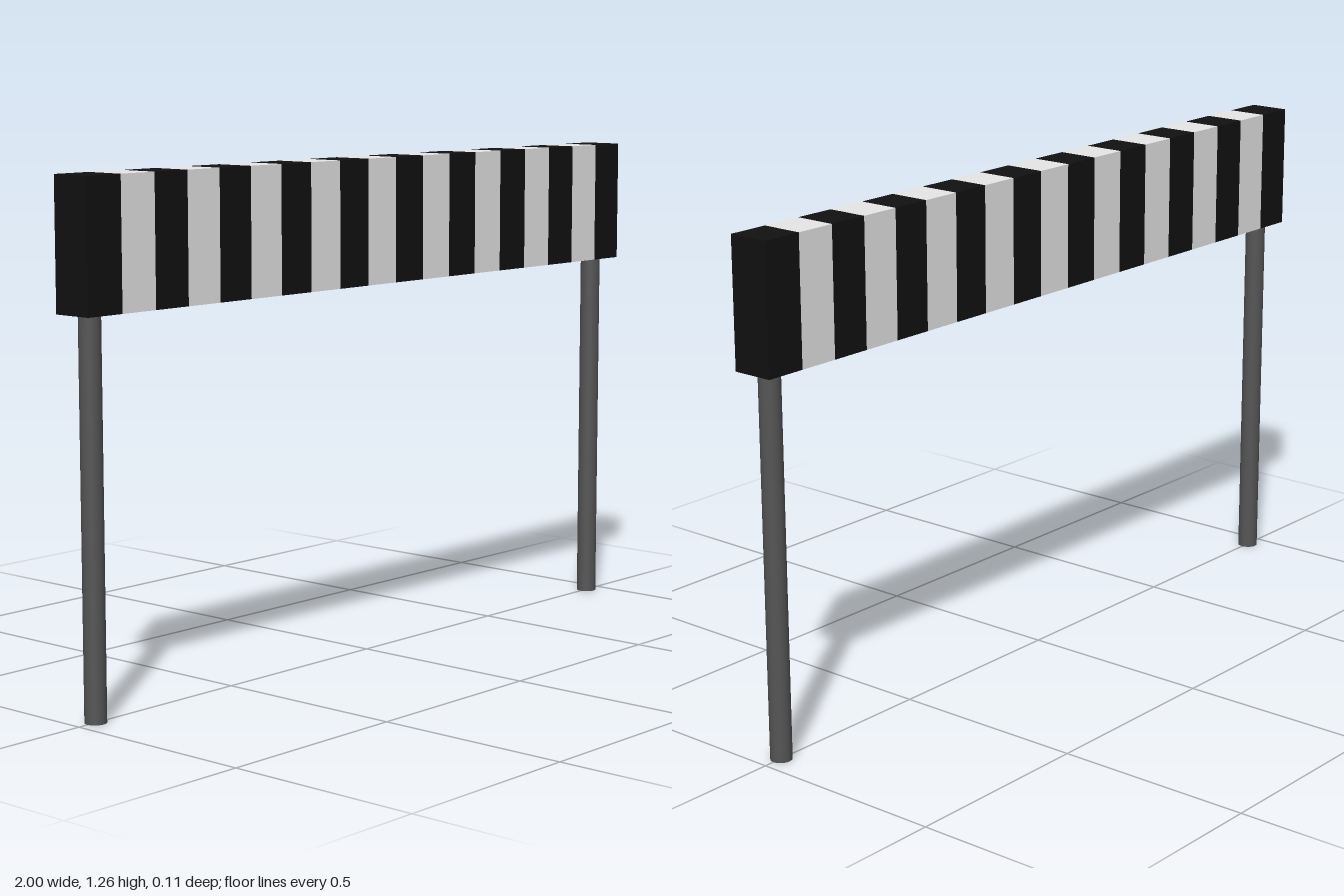
import * as THREE from 'three';

export function createModel() {
  const model = new THREE.Group();
  model.name = 'stripedBarrier';

  const material = (name, color) => {
    const m = new THREE.MeshStandardMaterial({ color });
    m.name = name;
    return m;
  };
  const black = material('black', 0x111111);
  const white = material('white', 0xf5f5f5);
  const grey = material('dark grey', 0x555555);

  const stripes = 19;
  const unit = 2 / stripes; // stripe width, also the beam depth
  const beamBottom = 9 * unit;
  const beamHeight = 3 * unit;

  // Beam: alternating blocks, black at both ends
  const beam = new THREE.Group();
  beam.name = 'beam';
  const blockGeometry = new THREE.BoxGeometry(unit, beamHeight, unit);
  for (let i = 0; i < stripes; i++) {
    const block = new THREE.Mesh(blockGeometry, i % 2 ? white : black);
    block.name = i % 2 ? 'whiteStripe' : 'blackStripe';
    block.position.set(-1 + (i + 0.5) * unit, beamBottom + beamHeight / 2, 0);
    beam.add(block);
  }
  model.add(beam);

  // Round posts centred under the end blocks
  const postGeometry = new THREE.CylinderGeometry(unit / 4, unit / 4, beamBottom, 24);
  for (const side of [-1, 1]) {
    const post = new THREE.Mesh(postGeometry, grey);
    post.name = side < 0 ? 'rightPost' : 'leftPost';
    post.position.set(side * (1 - unit / 2), beamBottom / 2, 0);
    model.add(post);
  }

  return model;
}
